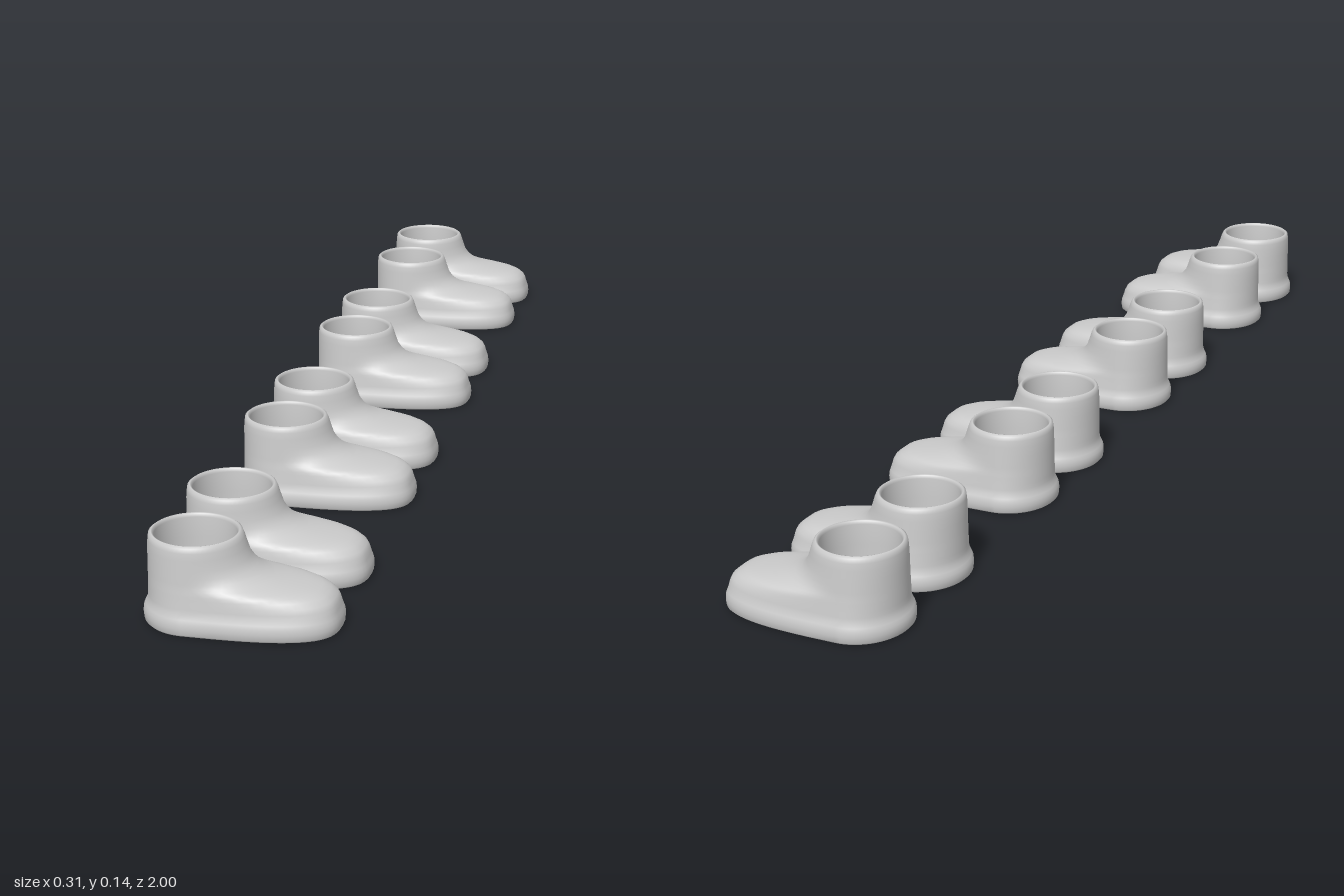
import * as THREE from 'three';

const SEGMENTS = 64;
const ANKLE_X = -0.075; // centre of the ankle shaft

// Outline levels: [height, heel x, toe x, half width, toe squareness]
const OUTER = [
  [0, -0.153, 0.152, 0.086, 3],
  [0.003, -0.156, 0.155, 0.089, 3],
  [0.013, -0.157, 0.156, 0.09, 3],
  [0.021, -0.156, 0.155, 0.089, 3],
  [0.027, -0.153, 0.153, 0.087, 3],
  [0.034, -0.15, 0.151, 0.084, 2.95],
  [0.042, -0.149, 0.149, 0.083, 2.9],
  [0.05, -0.149, 0.145, 0.082, 2.8],
  [0.058, -0.149, 0.135, 0.081, 2.65],
  [0.063, -0.149, 0.122, 0.0805, 2.5],
  [0.067, -0.149, 0.1, 0.08, 2.35],
  [0.071, -0.149, 0.071, 0.0795, 2.2],
  [0.0755, -0.149, 0.05, 0.079, 2.1],
  [0.081, -0.149, 0.034, 0.0785, 2],
  [0.09, -0.149, 0.02, 0.078, 2],
  [0.102, -0.149, 0.01, 0.077, 2],
  [0.118, -0.149, 0.004, 0.076, 2],
  [0.13, -0.148, 0, 0.075, 2],
  [0.137, -0.147, -0.003, 0.073, 2],
  [0.14, -0.143, -0.007, 0.069, 2],
];

// Round levels of the hollow inside, from rim to floor: [height, radius]
const INNER = [[0.139, 0.066], [0.134, 0.064], [0.1, 0.063], [0.06, 0.063],
  [0.035, 0.061], [0.027, 0.055], [0.025, 0.045], [0.025, 0]];

// Closed outline: round heel, longer squared-off toe
function ring([y, heel, toe, halfWidth, power]) {
  const points = [];
  for (let i = 0; i < SEGMENTS; i++) {
    const t = (i / SEGMENTS) * Math.PI * 2;
    const c = Math.cos(t), s = Math.sin(t);
    const e = c > 0 ? 2 / power : 1;
    const x = c > 0 ? (toe - ANKLE_X) * Math.pow(c, e) : (ANKLE_X - heel) * c;
    const z = halfWidth * Math.sign(s) * Math.pow(Math.abs(s), e);
    points.push(ANKLE_X + x, y, z);
  }
  return points;
}

// Smooth skin through a stack of outlines
function skin(levels) {
  const positions = levels.flatMap(ring);
  const index = [];
  for (let j = 0; j < levels.length - 1; j++) {
    for (let i = 0; i < SEGMENTS; i++) {
      const k = (i + 1) % SEGMENTS;
      const a = j * SEGMENTS + i, b = j * SEGMENTS + k;
      const c = a + SEGMENTS, d = b + SEGMENTS;
      index.push(a, c, b, b, c, d);
    }
  }
  const geometry = new THREE.BufferGeometry();
  geometry.setAttribute('position', new THREE.Float32BufferAttribute(positions, 3));
  geometry.setIndex(index);
  geometry.computeVertexNormals();
  return geometry;
}

export function createModel() {
  const model = new THREE.Group();
  model.name = 'boots';
  const material = new THREE.MeshStandardMaterial({ color: 0xcccccc });

  // Upper with its lining, and the flat sole underneath
  const lining = INNER.map(([y, r]) => [y, ANKLE_X - r, ANKLE_X + r, r, 2]);
  const upperGeometry = skin([...OUTER, ...lining]);
  const soleGeometry = skin([[0, ANKLE_X, ANKLE_X, 0, 2], OUTER[0]]);

  function boot(name, z) {
    const group = new THREE.Group();
    group.name = name;
    const upper = new THREE.Mesh(upperGeometry, material);
    upper.name = 'upper';
    const sole = new THREE.Mesh(soleGeometry, material);
    sole.name = 'sole';
    group.add(upper, sole);
    group.position.z = z;
    return group;
  }

  // Four pairs in a row, toes toward +x
  [-0.81, -0.27, 0.27, 0.81].forEach((z, i) => {
    const pair = new THREE.Group();
    pair.name = `pair${i + 1}`;
    pair.add(boot('leftBoot', -0.1), boot('rightBoot', 0.1));
    pair.position.z = z;
    model.add(pair);
  });
  return model;
}
